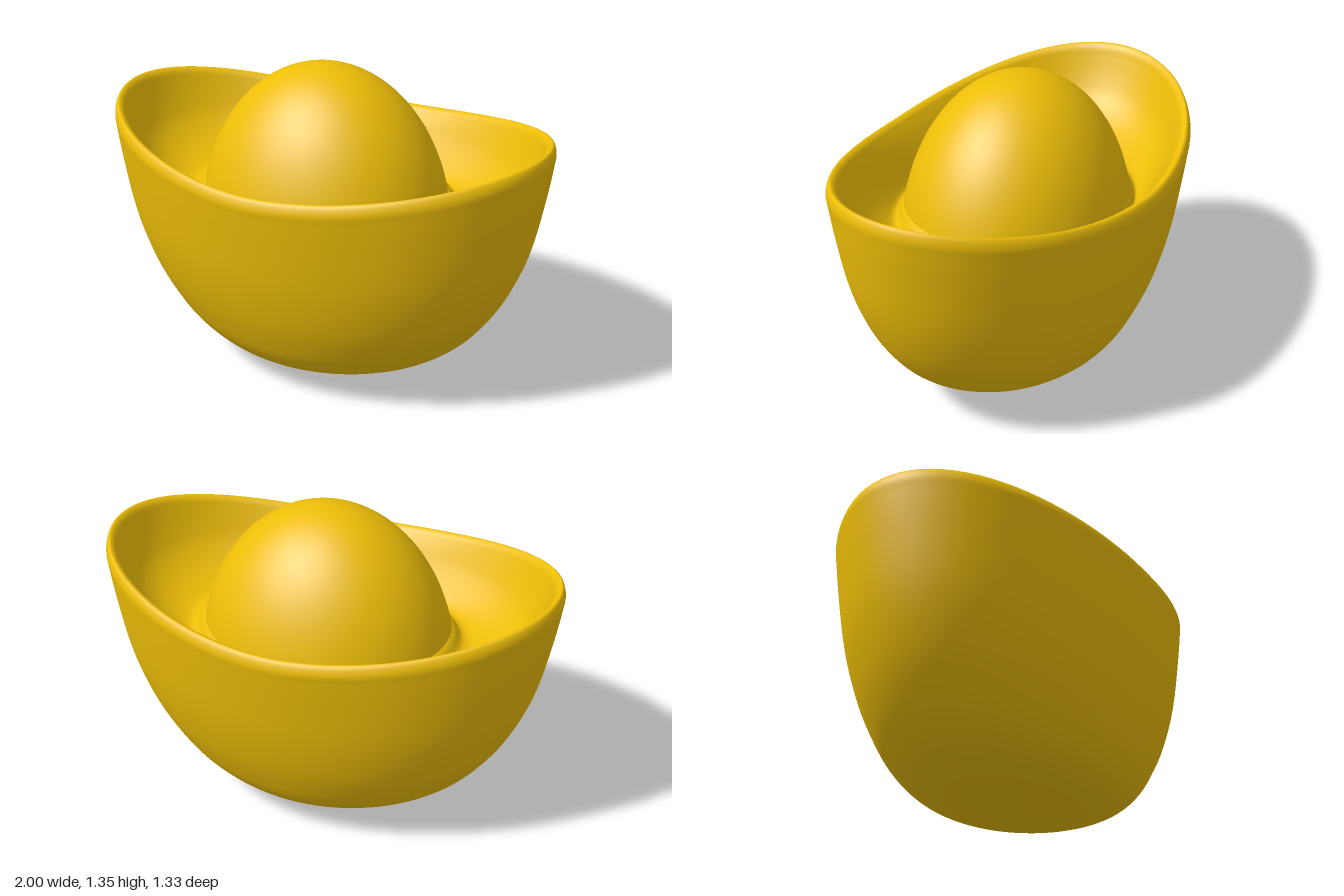
import * as THREE from 'three';
import { mergeVertices } from 'three/addons/utils/BufferGeometryUtils.js';

const gold = new THREE.MeshStandardMaterial({ color: 0xecbd07 });

// Elliptical rings: [x radius, z radius, height at the ends, height at front and back]
const rings = [
  // outside, from the pointed base to the rim
  [0, 0, 0, 0], [0.25, 0.185, 0.046, 0.038], [0.46, 0.33, 0.092, 0.072],
  [0.6, 0.42, 0.155, 0.122], [0.7, 0.485, 0.235, 0.197], [0.78, 0.533, 0.335, 0.295],
  [0.85, 0.573, 0.455, 0.4], [0.925, 0.617, 0.65, 0.58], [0.975, 0.647, 0.9, 0.79],
  [0.996, 0.661, 1.05, 0.91],
  // rounded rim
  [1.0, 0.664, 1.1, 0.952], [0.985, 0.646, 1.135, 0.988], [0.963, 0.623, 1.12, 0.98],
  // inside, down to the floor and up the fillet against the dome
  [0.945, 0.607, 1.075, 0.96], [0.91, 0.588, 0.99, 0.932], [0.86, 0.57, 0.9, 0.9],
  [0.78, 0.545, 0.825, 0.85], [0.69, 0.52, 0.78, 0.795], [0.62, 0.498, 0.765, 0.755],
  [0.585, 0.485, 0.775, 0.75], [0.556, 0.472, 0.81, 0.785], [0.53, 0.45, 0.83, 0.82],
];

// Sweeps the ring list around the y axis, lifting each ring towards its ends
function sweepRings(rows, around, perRow) {
  const ends = new THREE.CatmullRomCurve3(rows.map(r => new THREE.Vector3(r[0], r[2], 0)));
  const sides = new THREE.CatmullRomCurve3(rows.map(r => new THREE.Vector3(r[1], r[3], 0)));
  const steps = (rows.length - 1) * perRow;
  const geometry = new THREE.PlaneGeometry(1, 1, around, steps);
  const position = geometry.attributes.position;
  for (let j = 0; j <= steps; j++) {
    const e = ends.getPoint(j / steps);
    const s = sides.getPoint(j / steps);
    for (let i = 0; i <= around; i++) {
      const a = ((i % around) / around) * Math.PI * 2;
      const c = Math.cos(a), n = Math.sin(a);
      const lift = Math.pow(Math.abs(c), 1.7);
      position.setXYZ(j * (around + 1) + i, e.x * c, s.y + (e.y - s.y) * lift, s.x * n);
    }
  }
  geometry.deleteAttribute('uv');
  geometry.deleteAttribute('normal');
  const welded = mergeVertices(geometry, 1e-5);
  welded.computeVertexNormals();
  return welded;
}

export function createModel() {
  const group = new THREE.Group();
  group.name = 'goldIngot';

  // Boat-shaped shell with its rim and inner floor
  const shell = new THREE.Mesh(sweepRings(rings, 96, 4), gold);
  shell.name = 'shell';
  group.add(shell);

  // Egg-shaped dome rising from the floor
  const domeGeometry = new THREE.SphereGeometry(1, 64, 32, 0, Math.PI * 2, 0, Math.PI / 2);
  domeGeometry.scale(0.562, 0.725, 0.482);
  const dome = new THREE.Mesh(domeGeometry, gold);
  dome.name = 'dome';
  dome.position.y = 0.62;
  group.add(dome);

  return group;
}
